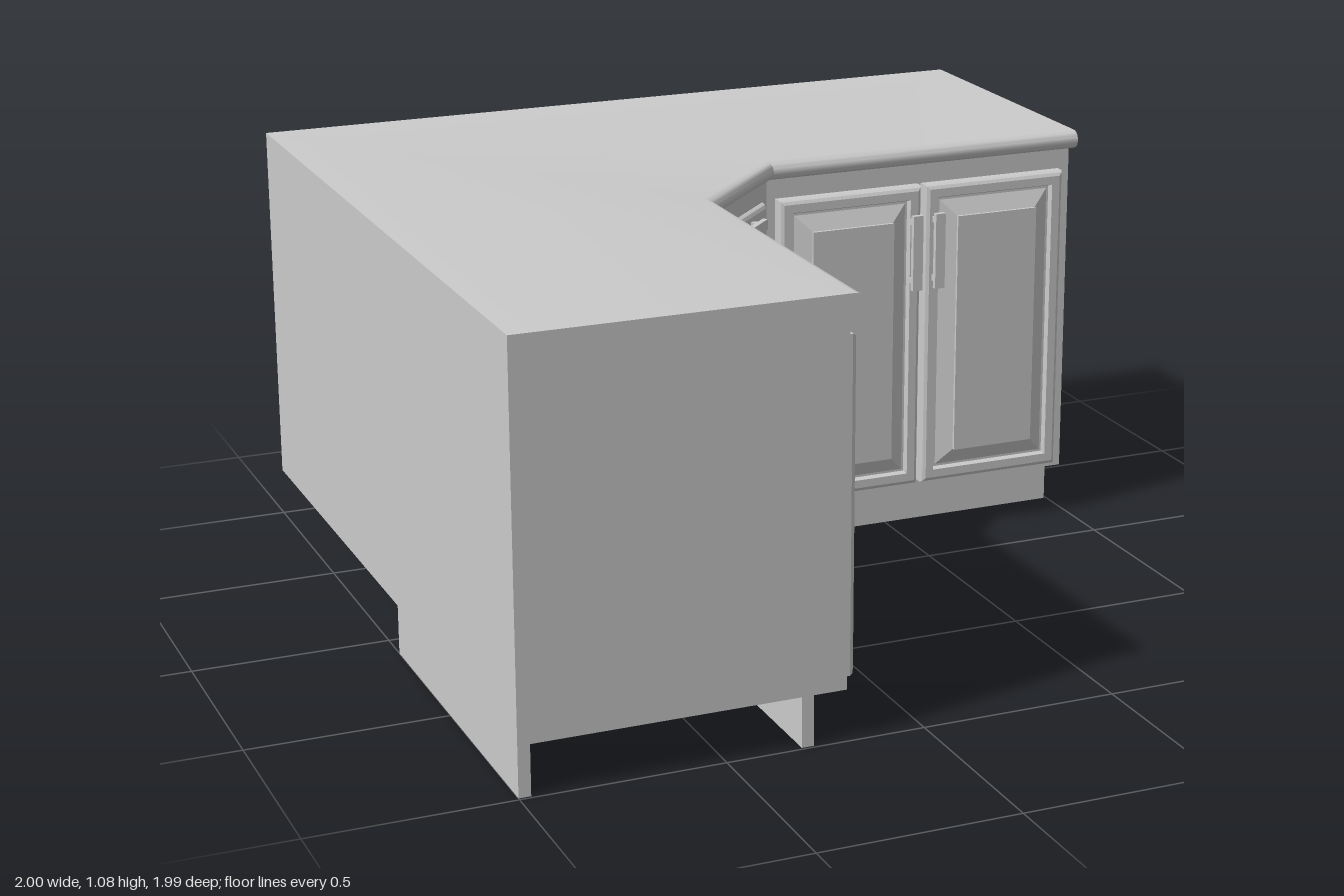
import * as THREE from 'three';
import { toCreasedNormals } from 'three/addons/utils/BufferGeometryUtils.js';

const material = new THREE.MeshStandardMaterial({ color: 0xcccccc });
const END = 0.993;      // half depth of the unit
const FRONT = -0.197;   // front plane of both cabinet wings
const CORNER = 0.11;    // where the wings meet the diagonal cabinet
const MITRE = Math.SQRT2 - 1;

// Joins matching counter-clockwise outlines, stacked along z, and caps both ends.
function loft(layers) {
  const pos = [];
  const put = (layer, i) => pos.push(layer.points[i].x, layer.points[i].y, layer.z);
  const n = layers[0].points.length;
  for (let k = 0; k < layers.length - 1; k++) {
    const a = layers[k], b = layers[k + 1];
    for (let i = 0; i < n; i++) {
      const j = (i + 1) % n;
      put(a, i); put(a, j); put(b, j);
      put(a, i); put(b, j); put(b, i);
    }
  }
  const first = layers[0], last = layers[layers.length - 1];
  for (const [a, b, c] of THREE.ShapeUtils.triangulateShape(first.points.slice(), [])) {
    put(first, a); put(first, c); put(first, b);
  }
  for (const [a, b, c] of THREE.ShapeUtils.triangulateShape(last.points.slice(), [])) {
    put(last, a); put(last, b); put(last, c);
  }
  const geometry = new THREE.BufferGeometry();
  geometry.setAttribute('position', new THREE.Float32BufferAttribute(pos, 3));
  geometry.computeVertexNormals();
  return geometry;
}

function add(parent, geometry, name) {
  const mesh = new THREE.Mesh(geometry, material);
  mesh.name = name;
  parent.add(mesh);
  return mesh;
}

function box(parent, name, x0, x1, y0, y1, z0, z1) {
  const mesh = add(parent, new THREE.BoxGeometry(x1 - x0, y1 - y0, z1 - z0), name);
  mesh.position.set((x0 + x1) / 2, (y0 + y1) / 2, (z0 + z1) / 2);
}

const toPoints = (list) => list.map(([x, y]) => new THREE.Vector2(x, y));

// L-shaped plan with a diagonal inner corner (plan y is -z).
const plan = (front, corner, right) => toPoints([
  [-1, -END], [front, -END], [front, -corner], [corner, -front],
  [right, -front], [right, END], [-1, END],
]);

// Panelled door: nested rectangles as [inset, depth].
const DOOR_RINGS = [
  [0, 0], [0, 0.022], [0.004, 0.03], [0.012, 0.035], [0.034, 0.035], [0.039, 0.022],
  [0.045, 0.022], [0.088, 0.042], [0.088, 0.05], [0.092, 0.05],
];
function door(width, height) {
  return loft(DOOR_RINGS.map(([inset, z]) => {
    const w = width / 2 - inset, h = height / 2 - inset;
    return { z, points: toPoints([[-w, -h], [w, -h], [w, h], [-w, h]]) };
  }));
}

// Flat bar on two posts, upright by default.
function handle() {
  const group = new THREE.Group();
  group.name = 'handle';
  box(group, 'handleBar', -0.014, 0.014, -0.102, 0.102, 0.056, 0.07);
  for (const y of [-0.08, 0.08]) {
    box(group, 'handlePost', -0.008, 0.008, y - 0.008, y + 0.008, 0.03, 0.058);
  }
  return group;
}

function doorUnit(name, width, handleX, handleY, horizontal = false) {
  const group = new THREE.Group();
  group.name = name;
  add(group, door(width, 0.83), 'doorPanel');
  const grip = handle();
  grip.position.set(handleX, handleY, 0);
  if (horizontal) grip.rotation.z = Math.PI / 2;
  group.add(grip);
  return group;
}

export function createModel() {
  const model = new THREE.Group();
  model.name = 'cornerCabinet';

  // Carcass
  const bodyPlan = plan(FRONT, CORNER, END);
  const body = add(model, loft([0.127, 1.031].map((z) => ({ z, points: bodyPlan }))), 'carcass');
  body.rotation.x = -Math.PI / 2;

  // Worktop with a rounded front edge
  const layers = [];
  const radius = 0.0245, steps = 10;
  for (let i = 0; i <= steps; i++) {
    const a = -Math.PI / 2 + (Math.PI * i) / steps;
    const d = radius * (Math.cos(a) - 1);
    layers.push({
      z: 1.0555 + radius * Math.sin(a),
      points: plan(-0.16 + d, 0.115 + MITRE * d, 1),
    });
  }
  const worktop = add(model, toCreasedNormals(loft(layers), 0.5), 'worktop');
  worktop.rotation.x = -Math.PI / 2;

  // Recessed plinth running along the front
  const t = 0.03, recess = -0.28;
  const strip = toPoints([
    [recess - t, -END], [recess, -END], [recess, -CORNER], [CORNER, -recess],
    [END, -recess], [END, t - recess], [CORNER - MITRE * t, t - recess],
    [recess - t, MITRE * t - CORNER],
  ]);
  const plinth = add(model, loft([0, 0.127].map((z) => ({ z, points: strip }))), 'frontPlinth');
  plinth.rotation.x = -Math.PI / 2;

  // Back and return boards under each wing
  const inner = 0.09;
  box(model, 'backPlinth', inner, END, 0, 0.13, -END, -END + t);
  box(model, 'returnPlinth', inner, inner + t, 0, 0.13, -END + t, recess - t);
  box(model, 'sidePlinth', -1, -1 + t, 0, 0.13, inner, END);
  box(model, 'returnPlinth', -1 + t, recess - t, 0, 0.13, inner, inner + t);

  // Pairs of doors on both wings, handles towards the middle of each pair
  const doorY = 0.56;
  for (const [centre, side] of [[0.338, 1], [0.757, -1]]) {
    const back = doorUnit('backWingDoor', 0.408, side * 0.177, 0.243);
    back.position.set(centre, doorY, FRONT);
    model.add(back);
    const wing = doorUnit('sideWingDoor', 0.408, -side * 0.177, 0.243);
    wing.position.set(FRONT, doorY, centre);
    wing.rotation.y = Math.PI / 2;
    model.add(wing);
  }

  // Diagonal corner door, set slightly into the carcass
  const mid = (FRONT + CORNER) / 2 - 0.014;
  const cornerDoor = doorUnit('cornerDoor', 0.372, 0, 0.383, true);
  cornerDoor.position.set(mid, doorY, mid);
  cornerDoor.rotation.y = Math.PI / 4;
  model.add(cornerDoor);

  return model;
}
